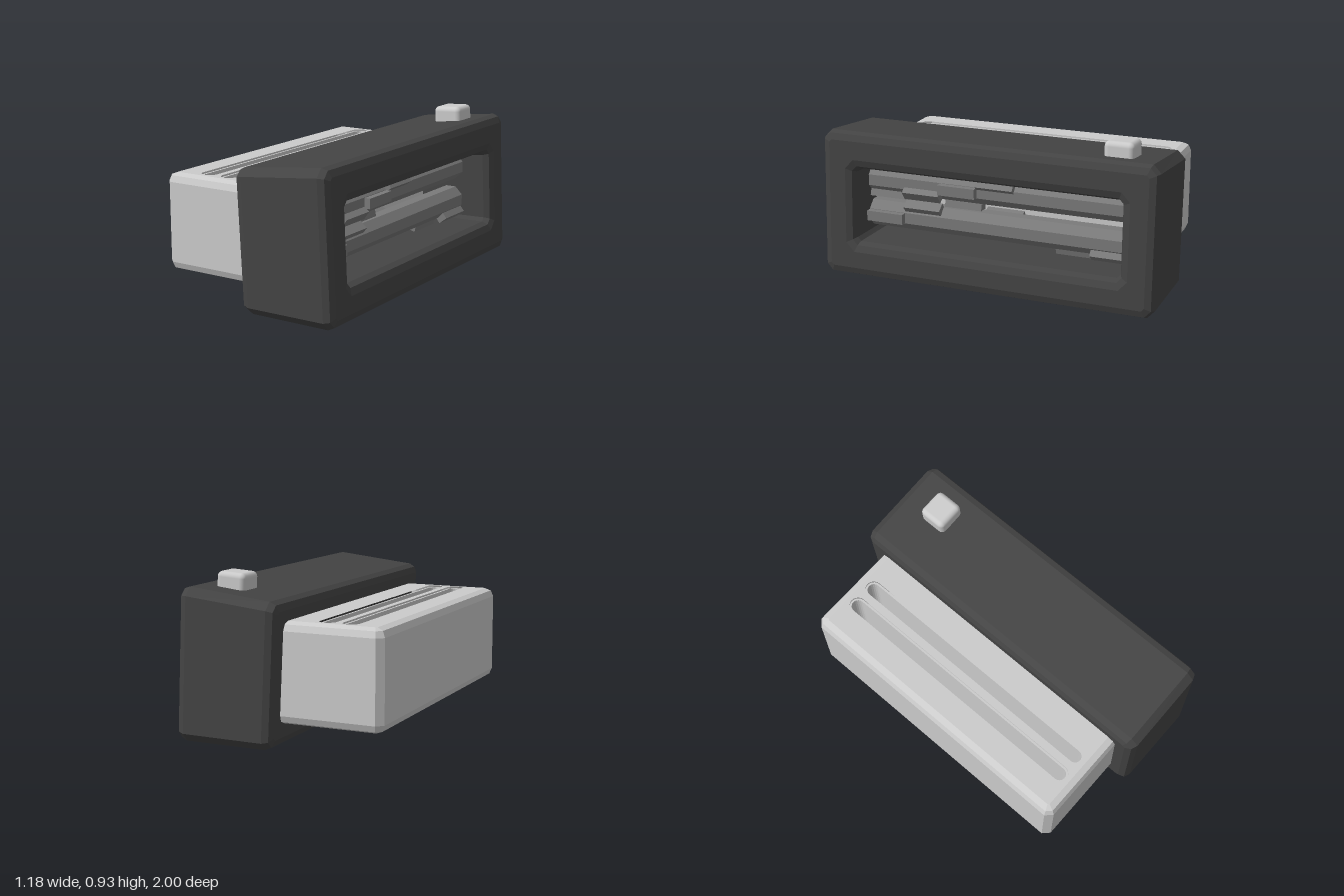
import * as THREE from 'three';
import { RoundedBoxGeometry } from 'three/addons/geometries/RoundedBoxGeometry.js';

const mat = (color, extra = {}) => new THREE.MeshStandardMaterial({ color, ...extra });
const grey = mat(0xcccccc, { side: THREE.DoubleSide });
const dark = mat(0x444444, { flatShading: true });
const steel = mat(0x7a7a7a, { flatShading: true });

// rectangle with cut corners
function cutRect(x0, y0, x1, y1, c) {
  return new THREE.Shape([
    [x0 + c, y0], [x1 - c, y0], [x1, y0 + c], [x1, y1 - c],
    [x1 - c, y1], [x0 + c, y1], [x0, y1 - c], [x0, y0 + c],
  ].map(([x, y]) => new THREE.Vector2(x, y)));
}

// long slot outline with round ends
function pill(x, r, half) {
  const s = new THREE.Shape();
  s.absarc(x, half - r, r, 0, Math.PI);
  s.absarc(x, -half + r, r, Math.PI, Math.PI * 2);
  s.closePath();
  return s;
}

function add(parent, name, geometry, material) {
  const mesh = new THREE.Mesh(geometry, material);
  mesh.name = name;
  parent.add(mesh);
  return mesh;
}

// leaning dark frame with a window through it
function frameGeometry() {
  const b = 0.05, width = 0.585;
  const shape = cutRect(-1 + b, b, 1 - b, 0.8 - b, 0.015);
  shape.holes.push(cutRect(-0.85, 0.14, 0.85, 0.65, 0.05));
  const geo = new THREE.ExtrudeGeometry(shape, {
    depth: width - 2 * b, bevelSize: b, bevelThickness: b, bevelSegments: 2,
  });
  geo.translate(0, 0, b).rotateY(Math.PI / 2);
  // lean backwards and raise the top towards the window side
  const p = geo.attributes.position;
  for (let i = 0; i < p.count; i++) {
    const x = p.getX(i) + 0.01 - 0.05 * p.getY(i);
    p.setXY(i, x, p.getY(i) * (1 + 0.137 * x));
  }
  geo.computeVertexNormals();
  return geo;
}

// rear body with two slots in its top
function buildBody() {
  const body = new THREE.Group();
  body.name = 'rearBody';
  const b = 0.05, y0 = 0.127, y1 = 0.688;
  const outline = () => cutRect(-0.592 + b, -0.887 + b, 0.1 - b, 0.887 - b, 0.008);
  const full = new THREE.ExtrudeGeometry(outline(), {
    depth: y1 - y0 - 2 * b, bevelSize: b, bevelThickness: b, bevelSegments: 2,
  });
  // keep only the walls; the caps are made separately
  const { start, count } = full.groups[1];
  const walls = new THREE.BufferGeometry();
  walls.setAttribute('position', new THREE.BufferAttribute(
    full.attributes.position.array.slice(start * 3, (start + count) * 3), 3));
  walls.translate(0, 0, b).rotateX(-Math.PI / 2).translate(0, y0, 0);
  walls.computeVertexNormals();
  add(body, 'bodyWalls', walls, grey);

  const flat = (shape, y) =>
    new THREE.ShapeGeometry(shape, 5).rotateX(-Math.PI / 2).translate(0, y, 0);
  const top = outline();
  for (const x of [-0.365, -0.23]) {
    top.holes.push(pill(x, 0.049, 0.815));
    const liner = pill(x, 0.049, 0.815);
    liner.holes.push(pill(x, 0.037, 0.803));
    const geo = new THREE.ExtrudeGeometry(liner, { depth: 0.4, bevelEnabled: false, curveSegments: 5 });
    geo.rotateX(-Math.PI / 2).translate(0, y1 - 0.41, 0);
    add(body, 'slotWall', geo, grey);
    add(body, 'slotFloor', flat(pill(x, 0.049, 0.815), y1 - 0.41), grey);
  }
  add(body, 'bodyTop', flat(top, y1), grey);
  const bottom = new THREE.ShapeGeometry(outline()).rotateX(Math.PI / 2).translate(0, y0, 0);
  add(body, 'bodyBottom', bottom, grey);
  return body;
}

// eight-sided roller with a spiral of seven teeth
function buildRoller(y, startAngle, step) {
  const roller = new THREE.Group();
  roller.name = 'roller';
  roller.position.set(0.3, y, 0);
  const core = new THREE.CylinderGeometry(0.085, 0.085, 1.64, 8);
  core.rotateX(Math.PI / 2).rotateZ(Math.PI / 8);
  add(roller, 'rollerCore', core, steel);
  const length = 1.6 / 7;
  for (let k = 0; k < 7; k++) {
    const geo = new THREE.BoxGeometry(0.06, 0.06, length);
    geo.translate(0.085, 0, 0).rotateZ(startAngle + k * step);
    add(roller, 'tooth', geo, steel).position.z = 0.8 - (k + 0.5) * length;
  }
  return roller;
}

export function createModel() {
  const model = new THREE.Group();
  model.name = 'machine';
  add(model, 'frontFrame', frameGeometry(), dark);
  model.add(buildBody());
  model.add(buildRoller(0.53, -Math.PI * 0.4, Math.PI / 5));
  model.add(buildRoller(0.32, 0, Math.PI * 2 / 7));

  // button on the frame top
  const button = add(model, 'button', new RoundedBoxGeometry(0.175, 0.16, 0.17, 3, 0.03), mat(0xcccccc));
  button.position.set(0.34, 0.845, -0.735);
  button.rotation.z = 0.06;
  return model;
}
